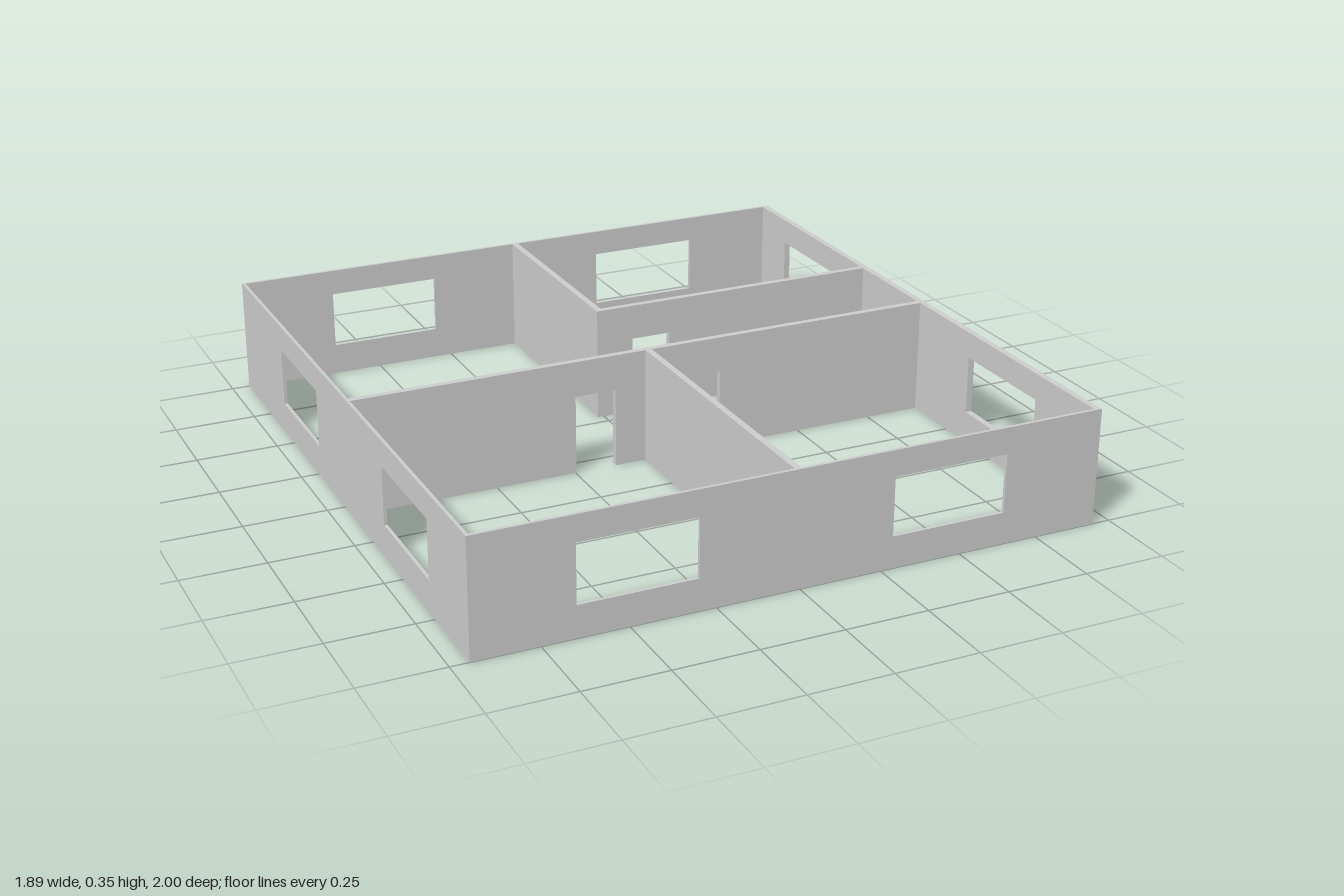
import * as THREE from 'three';

const HEIGHT = 0.355, DOOR_TOP = 0.245, SILL = 0.097, LINTEL = 0.275;
const OUTER = 0.01, INNER = 0.02;
const HALF_X = 0.945, HALF_Z = 1;

const material = new THREE.MeshStandardMaterial({ color: 0xcccccc, flatShading: true });

// Flat wall outline from u0 to u1: doors notch the bottom edge, windows are holes
function wallGeometry(u0, u1, thickness, doors, windows) {
  const shape = new THREE.Shape();
  shape.moveTo(u0, 0);
  for (const [a, b] of doors) {
    shape.lineTo(a, 0);
    shape.lineTo(a, DOOR_TOP);
    shape.lineTo(b, DOOR_TOP);
    shape.lineTo(b, 0);
  }
  shape.lineTo(u1, 0);
  shape.lineTo(u1, HEIGHT);
  shape.lineTo(u0, HEIGHT);
  shape.closePath();
  for (const [a, b] of windows) {
    const hole = new THREE.Path();
    hole.moveTo(a, SILL);
    hole.lineTo(a, LINTEL);
    hole.lineTo(b, LINTEL);
    hole.lineTo(b, SILL);
    hole.closePath();
    shape.holes.push(hole);
  }
  return new THREE.ExtrudeGeometry(shape, { depth: thickness, bevelEnabled: false });
}

export function createModel() {
  const house = new THREE.Group();
  house.name = 'housePlan';

  // Wall running along x, its back face at z
  const wallAlongX = (name, z, x0, x1, thickness, { doors = [], windows = [] } = {}) => {
    const wall = new THREE.Mesh(wallGeometry(x0, x1, thickness, doors, windows), material);
    wall.name = name;
    wall.position.z = z;
    house.add(wall);
  };

  // Wall running along z, its lower-x face at x
  const wallAlongZ = (name, x, z0, z1, thickness, { doors = [], windows = [] } = {}) => {
    const geometry = wallGeometry(z0, z1, thickness, doors, windows).rotateY(-Math.PI / 2);
    const wall = new THREE.Mesh(geometry, material);
    wall.name = name;
    wall.position.x = x + thickness;
    house.add(wall);
  };

  // Outer walls
  const endWindows = [[-0.65, -0.3], [0.285, 0.64]];
  const zIn = HALF_Z - OUTER;
  wallAlongX('frontWall', zIn, -HALF_X, HALF_X, OUTER, { windows: endWindows });
  wallAlongX('backWall', -HALF_Z, -HALF_X, HALF_X, OUTER, { windows: endWindows });
  wallAlongZ('rightWall', -HALF_X, -zIn, zIn, OUTER, {
    windows: [[-0.585, -0.233], [0.353, 0.71]],
  });
  wallAlongZ('leftWall', HALF_X - INNER, -zIn, zIn, INNER, {
    doors: [[-0.183, -0.05]],
    windows: [[-0.825, -0.465], [0.353, 0.71]],
  });

  // Inner partitions
  const xMin = -HALF_X + OUTER, xMax = HALF_X - INNER;
  const leftDoor = [0.1, 0.228], rightDoor = [-0.247, -0.118];
  wallAlongX('hallFrontPartition', 0.045, xMin, xMax, INNER, { doors: [rightDoor, leftDoor] });
  wallAlongX('hallBackPartition', -0.31, -0.02, xMax, INNER, { doors: [leftDoor] });
  wallAlongZ('frontRoomPartition', -0.02, 0.065, zIn, INNER);
  wallAlongZ('backRoomPartition', -0.02, -zIn, -0.31, INNER);

  return house;
}
